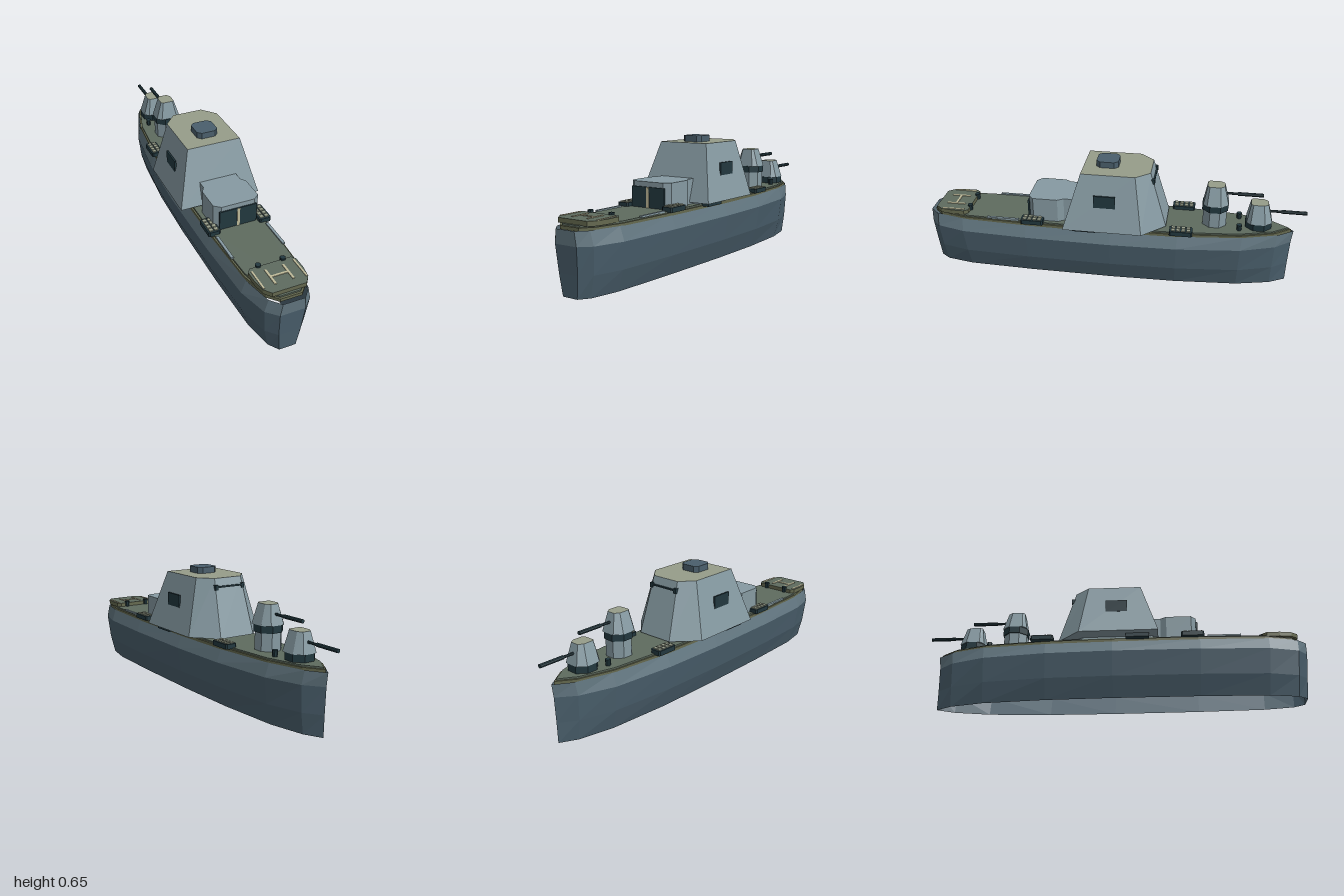
import * as THREE from 'three';

const mat = (name, color, side = THREE.FrontSide) => {
  const m = new THREE.MeshStandardMaterial({ color, side, flatShading: true });
  m.name = name;
  return m;
};

// Mirrors a half outline [x, z] (stern to bow) into a full loop
const loop = half => [
  ...half,
  ...half.slice().reverse().filter(p => p[0] > 0).map(([x, z]) => [-x, z]),
];

// Skins stacked loops; rings = [{ y, pts }]. Group 0 = sides and underside, 1 = roof
function loft(rings, caps = true) {
  const v = [];
  const put = (r, i) => v.push(r.pts[i][0], r.y, r.pts[i][1]);
  const n = rings[0].pts.length;
  for (let k = 0; k < rings.length - 1; k++) {
    const a = rings[k], b = rings[k + 1];
    for (let i = 0; i < n; i++) {
      const j = (i + 1) % n;
      put(a, i); put(a, j); put(b, j);
      put(a, i); put(b, j); put(b, i);
    }
  }
  const top = rings[rings.length - 1];
  if (caps) for (let i = 1; i < n - 1; i++) { put(rings[0], 0); put(rings[0], i + 1); put(rings[0], i); }
  const sides = v.length / 3;
  if (caps) for (let i = 1; i < n - 1; i++) { put(top, 0); put(top, i); put(top, i + 1); }
  const g = new THREE.BufferGeometry();
  g.setAttribute('position', new THREE.Float32BufferAttribute(v, 3));
  g.addGroup(0, sides, 0);
  if (caps) g.addGroup(sides, v.length / 3 - sides, 1);
  g.computeVertexNormals();
  return g;
}

export function createModel() {
  const ship = new THREE.Group();
  ship.name = 'patrolShip';
  const hullBlue = mat('hull blue', 0x4a5f6c, THREE.DoubleSide);
  const bandBlue = mat('upper hull blue', 0x61757f, THREE.DoubleSide);
  const grey = mat('superstructure grey', 0x869aa2);
  const sand = mat('roof sand', 0x969d8a);
  const olive = mat('deck olive', 0x5e6b5f);
  const trim = mat('trim olive', 0x65694f);
  const dark = mat('dark slate', 0x22383f);
  const cream = mat('marking cream', 0xc0bb9a);

  const add = (name, geo, material, x = 0, y = 0, z = 0, parent = ship) => {
    const m = new THREE.Mesh(geo, material);
    m.name = name;
    m.position.set(x, y, z);
    parent.add(m);
    return m;
  };
  const box = (name, w, h, d, material, x, y, z, parent) =>
    add(name, new THREE.BoxGeometry(w, h, d), material, x, y, z, parent);
  const prism = (name, half, y0, y1, mats, half2 = half, parent = ship) =>
    add(name, loft([{ y: y0, pts: loop(half) }, { y: y1, pts: loop(half2) }]), mats, 0, 0, 0, parent);

  // Hull: one plan curve scaled at each level, open underneath
  const plan = [[0.063, 1], [0.115, 0.95], [0.155, 0.8], [0.172, 0.45], [0.177, 0],
    [0.167, -0.35], [0.13, -0.68], [0.068, -0.86], [0, -0.945]];
  const level = (w, stern, bow) => plan.map(([x, z]) => [x * w, z > 0 ? z * stern : z * bow]);
  const knuckle = { y: 0.235, pts: loop(level(1, 0.998, 0.992)) };
  add('lowerHull', loft([
    { y: 0, pts: loop(level(0.67, 0.98, 0.985)) },
    { y: 0.105, pts: loop(level(0.885, 0.987, 0.987)) },
    knuckle], false), [hullBlue]);
  add('upperHull', loft([knuckle, { y: 0.302, pts: loop(level(0.86, 1, 1)) }], false), [bandBlue]);

  // Deck and edge trim
  prism('deckTrim', level(0.87, 0.975, 0.985), 0.296, 0.312, [trim, trim]);
  prism('deck', level(0.82, 0.965, 0.97), 0.312, 0.32, [olive, olive]);

  // Main superstructure
  prism('superstructureBase', [[0.14, 0.21], [0.14, -0.15], [0.08, -0.25]], 0.315, 0.33, [grey, grey]);
  prism('superstructure',
    [[0.215, 0.237], [0.215, -0.17], [0.1, -0.287]], 0.33, 0.62, [grey, sand],
    [[0.142, 0.15], [0.142, -0.128], [0.08, -0.2]]);
  prism('funnelCap', [[0.036, 0.084], [0.056, 0.064], [0.056, -0.01], [0.036, -0.03]],
    0.618, 0.652, [hullBlue, hullBlue]);
  for (const s of [-1, 1]) {
    box('sideWindow', 0.009, 0.065, 0.112, dark, s * 0.18, 0.488, 0.023);
    box('bridgeRailEnd', 0.016, 0.026, 0.022, dark, s * 0.08, 0.575, -0.212);
    box('sideLocker', 0.05, 0.02, 0.12, dark, s * 0.16, 0.318, 0.13);
  }
  box('bridgeRail', 0.16, 0.008, 0.008, dark, 0, 0.578, -0.218);

  // Hangar with a two-leaf door
  prism('hangar', [[0.088, 0.437], [0.12, 0.41], [0.12, 0.28], [0.1, 0.25], [0.1, 0.18]],
    0.315, 0.447, [grey, grey]);
  box('hangarDoor', 0.198, 0.102, 0.009, dark, 0, 0.371, 0.439);
  box('doorStrip', 0.014, 0.102, 0.004, cream, 0, 0.371, 0.445);

  // Helipad with painted landing mark
  prism('helipad', [[0.085, 0.955], [0.112, 0.92], [0.122, 0.86], [0.122, 0.795], [0.105, 0.775]],
    0.318, 0.341, [trim, olive]);
  for (const s of [-1, 1]) {
    box('padSideLine', 0.009, 0.004, 0.12, cream, s * 0.106, 0.342, 0.857);
    box('padMarkLeg', 0.011, 0.004, 0.1, cream, s * 0.045, 0.342, 0.86);
  }
  box('padMarkBar', 0.08, 0.004, 0.011, cream, 0, 0.342, 0.86);

  // Launchers, bollards and deck strips
  for (const s of [-1, 1]) {
    for (const z of [-0.367, 0.413]) {
      const l = new THREE.Group();
      l.name = 'launcher';
      l.position.set(s * 0.136, 0, z);
      ship.add(l);
      prism('launcherBox', [[0.024, 0.059], [0.031, 0.052], [0.031, -0.052], [0.024, -0.059]],
        0.315, 0.339, [dark, dark], undefined, l);
      for (let i = 0; i < 2; i++) for (let j = 0; j < 4; j++)
        box('launcherCell', 0.02, 0.008, 0.02, sand, (i - 0.5) * 0.026, 0.34, (j - 1.5) * 0.026, l);
    }
    for (const z of [-0.662, 0.775])
      add('bollard', new THREE.CylinderGeometry(0.014, 0.012, 0.034, 8), dark, s * 0.063, 0.335, z);
    box('deckStrip', 0.014, 0.009, 0.17, grey, s * 0.134, 0.322, 0.575);
  }

  // Gun turrets facing the bow
  const low = [[0.045, 0.062], [0.068, 0.042], [0.068, -0.03], [0.038, -0.068]];
  const high = [[0.028, 0.045], [0.038, 0.034], [0.038, -0.02], [0.022, -0.042]];
  const octagon = (r, h) => new THREE.CylinderGeometry(r, r, h, 8).rotateY(Math.PI / 8);
  const gun = (name, z, base, pedestal) => {
    const t = new THREE.Group();
    t.name = name;
    t.position.set(0, base, z);
    ship.add(t);
    if (pedestal) add('pedestal', octagon(0.066, pedestal), grey, 0, -0.035 - pedestal / 2, 0, t);
    add('turretRing', octagon(0.072, 0.036), dark, 0, -0.018, 0, t);
    prism('turretHouse', low, 0, 0.098, [grey, sand], high, t);
    const tube = (n, r, len, c, zc) =>
      add(n, new THREE.CylinderGeometry(r, r, len, 8).rotateX(Math.PI / 2), c, 0, 0.052, zc, t);
    tube('barrel', 0.007, 0.1, dark, -0.08);
    tube('barrelSleeve', 0.01, 0.13, dark, -0.175);
  };
  gun('forwardGun', -0.76, 0.358, 0);
  gun('raisedGun', -0.533, 0.444, 0.095);
  return ship;
}
